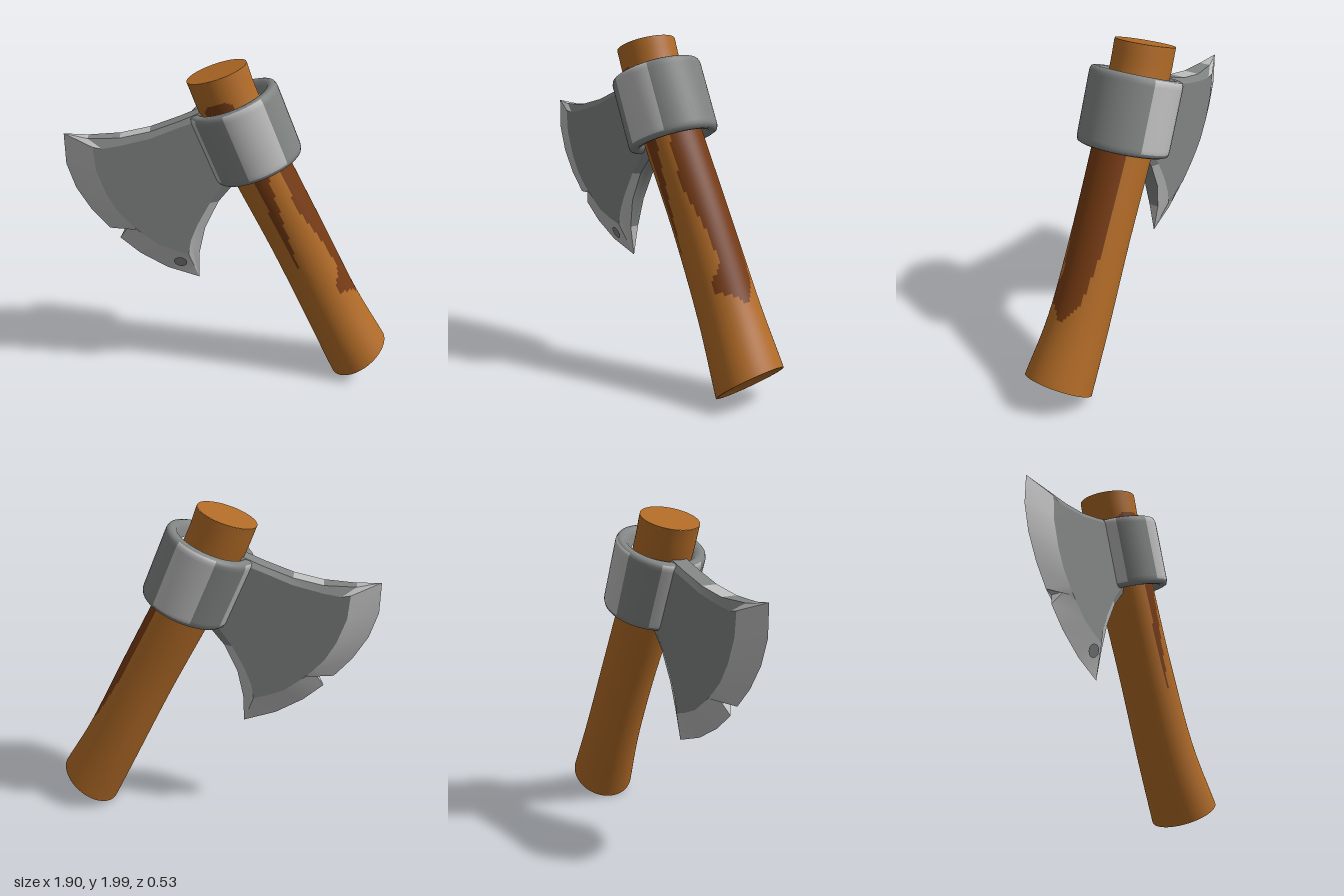
import * as THREE from 'three';
import { toCreasedNormals } from 'three/addons/utils/BufferGeometryUtils.js';

const flat = (name, color) => {
  const m = new THREE.MeshStandardMaterial({ color });
  m.name = name;
  return m;
};

// Closed band of quads: point(angle, v) gives a position, pick(angleDeg, v) a material index
function loft(name, mats, nu, vs, point, pick = () => 0) {
  const pos = [], faces = mats.map(() => []);
  vs.forEach((v) => {
    for (let i = 0; i < nu; i++) pos.push(...point((i / nu) * Math.PI * 2, v));
  });
  for (let j = 0; j < vs.length - 1; j++) {
    for (let i = 0; i < nu; i++) {
      const k = (i + 1) % nu;
      const a = j * nu + i, b = j * nu + k, c = a + nu, d = b + nu;
      let deg = ((i + 0.5) / nu) * 360;
      if (deg > 180) deg -= 360;
      faces[pick(deg, (vs[j] + vs[j + 1]) / 2)].push(a, b, c, b, d, c);
    }
  }
  const g = new THREE.BufferGeometry();
  g.setAttribute('position', new THREE.Float32BufferAttribute(pos, 3));
  g.setIndex(faces.flat());
  let start = 0;
  faces.forEach((f, i) => { g.addGroup(start, f.length, i); start += f.length; });
  g.computeVertexNormals();
  const mesh = new THREE.Mesh(g, mats);
  mesh.name = name;
  return mesh;
}

// Piecewise linear lookup in [x, y] pairs
function lerpTable(t, x) {
  for (let i = 0; i < t.length - 1; i++) {
    const [x0, y0] = t[i], [x1, y1] = t[i + 1];
    if (x <= x1) return y0 + (y1 - y0) * Math.max(0, (x - x0) / (x1 - x0));
  }
  return t[t.length - 1][1];
}

export function createModel() {
  const wood = flat('wood', 0xb06a26);
  const darkWood = flat('dark wood', 0x753a12);
  const steel = flat('steel', 0x808482);
  const brightSteel = flat('bright steel', 0xbcbdbc);
  const model = new THREE.Group();
  model.name = 'axe';

  // Handle rings from top to bottom: centre x, y, z, tilt in degrees, two radii
  const rings = [
    [-0.095, 1.945, 0, 18, 0.174, 0.17],
    [-0.02, 1.75, 0, 22, 0.172, 0.17],
    [0.155, 1.385, 0, 25, 0.172, 0.17],
    [0.38, 0.94, 0.002, 27, 0.172, 0.167],
    [0.6, 0.49, 0.012, 28, 0.178, 0.178],
    [0.79, 0.13, 0.04, 37, 0.2, 0.205],
  ];
  const centres = new THREE.CatmullRomCurve3(rings.map((r) => new THREE.Vector3(r[0], r[1], r[2])), false, 'catmullrom', 0.5);
  const sizes = new THREE.CatmullRomCurve3(rings.map((r) => new THREE.Vector3(r[3], r[4], r[5])), false, 'catmullrom', 0.5);
  const handlePoint = (th, v, scale = 1) => {
    const c = centres.getPoint(v), s = sizes.getPoint(v);
    const a = THREE.MathUtils.degToRad(s.x), r = Math.cos(th) * s.y * scale;
    return [c.x + r * Math.cos(a), c.y + r * Math.sin(a), c.z + Math.sin(th) * s.z * scale];
  };

  // Weathered patches: broad one on the side, a tapering streak and a spot above the collar
  const upper = [[0, 52], [0.3, 60], [0.5, 45], [0.75, 35], [0.84, 62], [0.89, 60], [0.94, 30], [1, 8]];
  const lower = [[0, -38], [0.6, -38], [0.85, -25], [0.95, -8], [1, 5]];
  const streak = [[0, 95], [0.7, 117]];
  const stain = (deg, v) => {
    const s = (v * 5 - 2) / 2;
    if (s > -0.15 && s < 1 && deg > lerpTable(lower, s) && deg < lerpTable(upper, s)) return 1;
    if (s > -0.1 && s < 0.7 && Math.abs(deg - lerpTable(streak, s)) < 15 * (1 - s / 0.72)) return 1;
    if (v > 0.14 && v < 0.22 && Math.abs(deg - 110) < 30 * Math.min(1, (v - 0.12) / 0.04)) return 1;
    return 0;
  };
  const steps = Array.from({ length: 101 }, (_, i) => i / 100);
  model.add(loft('handle', [wood, darkWood], 72, steps, handlePoint, stain));
  model.add(loft('handleTop', [wood], 36, [0, 0.5, 0.95, 1], (th, r) => handlePoint(th, 0, r)));
  model.add(loft('handleBottom', [wood], 36, [1, 0.93, 0.85, 0.4, 0], (th, r) => {
    const p = handlePoint(th, 1, r), sink = r > 0.9 ? 0 : 0.012;
    return [p[0] - 0.6 * sink, p[1] + 0.8 * sink, p[2]];
  }));

  // Collar: rounded ring with bright strips around its wall
  const profile = [[0.165, 0.15], [0.19, 0.19], [0.212, 0.212], [0.238, 0.215], [0.256, 0.208], [0.263, 0.19], [0.264, 0.17],
    [0.264, -0.17], [0.263, -0.19], [0.256, -0.208], [0.238, -0.215], [0.212, -0.212], [0.19, -0.19], [0.165, -0.15]];
  const collar = loft('collar', [steel, brightSteel], 48, profile.map((_, i) => i), (th, i) => {
    const [r, y] = profile[i];
    return [r * Math.cos(th), y, r * Math.sin(th)];
  }, (deg, i) => {
    const a = Math.abs(deg);
    return i > 4 && i < 8 && ((a > 55 && a < 106) || (a > 148 && a < 166)) ? 1 : 0;
  });
  collar.position.set(0.068, 1.595, 0);
  collar.rotation.z = THREE.MathUtils.degToRad(22);
  model.add(collar);

  // Blade sections: rim x, y, face x, y, rim half thickness
  const T = 0.07;
  const blade = [
    [-0.13, 1.75, -0.13, 1.71, 0.05], [-0.3, 1.68, -0.3, 1.65, 0.05], [-0.47, 1.62, -0.47, 1.585, 0.05],
    [-0.64, 1.585, -0.64, 1.545, 0.05], [-0.82, 1.58, -0.74, 1.53, 0.035], [-0.955, 1.6, -0.79, 1.54, 0],
    [-0.955, 1.42, -0.78, 1.4, 0], [-0.91, 1.27, -0.73, 1.25, 0], [-0.83, 1.13, -0.67, 1.14, 0],
    [-0.73, 1.01, -0.61, 1.07, 0], [-0.62, 1.035, -0.565, 1.025, 0.04], [-0.675, 0.945, -0.53, 0.995, 0],
    [-0.56, 0.84, -0.45, 0.93, 0], [-0.4, 0.74, -0.36, 0.89, 0], [-0.21, 0.67, -0.27, 0.86, 0],
    [-0.205, 0.85, -0.255, 0.95, 0.03], [-0.17, 1.02, -0.215, 1.05, 0.045], [-0.09, 1.19, -0.14, 1.19, 0.05],
    [0, 1.3, -0.06, 1.3, 0.05], [0.08, 1.4, 0.04, 1.42, 0.05],
  ];
  const parts = { bladeFace: [], bladeBevel: [], bladeSpine: [] };
  const tri = (list, a, b, c) => list.push(...a, ...b, ...c);
  const faceOutline = blade.map((p) => new THREE.Vector2(p[2], p[3]));
  const faceTris = THREE.ShapeUtils.triangulateShape(faceOutline, []);
  for (const side of [1, -1]) {
    const put = (list, a, b, c) => (side > 0 ? tri(list, a, b, c) : tri(list, a, c, b));
    const rim = (p) => [p[0], p[1], side * p[4]];
    const face = (p) => [p[2], p[3], side * T];
    faceTris.forEach((t) => put(parts.bladeFace, ...t.map((i) => face(blade[i]))));
    for (let i = 0; i < blade.length - 1; i++) {
      const p = blade[i], q = blade[i + 1];
      const list = i >= 4 && i < 17 ? parts.bladeBevel : parts.bladeSpine;
      put(list, rim(p), rim(q), face(q));
      put(list, rim(p), face(q), face(p));
      // Half of the narrow rim wall, up to the middle plane
      const wall = i === 2 || (i >= 4 && i < 15) ? parts.bladeBevel : parts.bladeSpine;
      const p0 = [p[0], p[1], 0], q0 = [q[0], q[1], 0];
      if (q[4] > 0) put(wall, p0, q0, rim(q));
      if (p[4] > 0) put(wall, p0, rim(q), rim(p));
    }
  }
  const bladeMats = { bladeFace: steel, bladeBevel: brightSteel, bladeSpine: steel };
  for (const [name, list] of Object.entries(parts)) {
    const g = new THREE.BufferGeometry();
    g.setAttribute('position', new THREE.Float32BufferAttribute(list, 3));
    const mesh = new THREE.Mesh(toCreasedNormals(g, 0.6), bladeMats[name]);
    mesh.name = name;
    model.add(mesh);
  }

  // Small worn spot on the bevel
  const spot = new THREE.Mesh(new THREE.CircleGeometry(0.04, 16), steel);
  spot.name = 'bladeSpot';
  spot.position.set(-0.32, 0.8, 0.05);
  spot.lookAt(-0.32 - 0.16, 0.8 - 0.38, 0.05 + 0.92);
  model.add(spot);

  return model;
}
